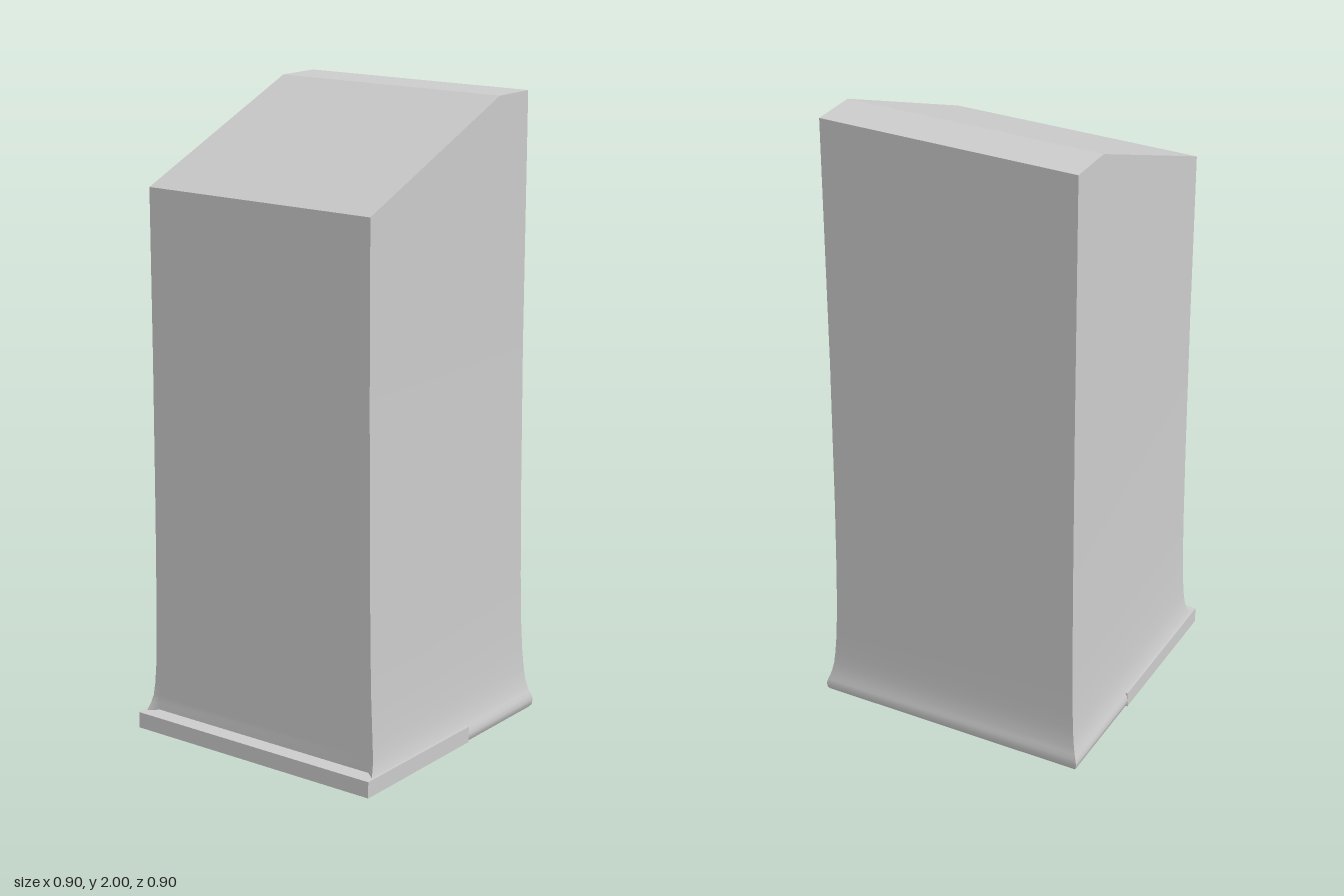
import * as THREE from 'three';
import { toCreasedNormals } from 'three/addons/utils/BufferGeometryUtils.js';

const HALF = 0.41, FRONT = 0.395, SEAM = 1.2;

// Flare of the lower body: [height, outward offset, forward offset of the front edge]
const FLARE = [
  [0, 0.032, 0.03], [0.008, 0.038, 0.03], [0.025, 0.04, 0.03], [0.04, 0.037, 0.03], [0.055, 0.031, 0.025],
  [0.075, 0.026, 0.014], [0.1, 0.021, 0.006], [0.14, 0.017, 0.002], [0.2, 0.013, 0],
  [0.3, 0.009, 0], [0.45, 0.006, 0], [0.7, 0.003, 0], [SEAM, 0, 0],
];

// Loft through horizontal sections, capped at the bottom
function skirtGeometry() {
  const rings = FLARE.map(([y, out, fwd]) => {
    const x = HALF + out, zf = FRONT + fwd;
    return [[-HALF, FRONT], [HALF, FRONT], [x, zf], [x, -x], [-x, -x], [-x, zf]]
      .map(([px, pz]) => new THREE.Vector3(px, y, pz));
  });
  const points = [];
  for (let r = 0; r < rings.length - 1; r++) {
    const lower = rings[r], upper = rings[r + 1], n = lower.length;
    for (let i = 0; i < n; i++) {
      const j = (i + 1) % n;
      points.push(lower[i], lower[j], upper[j], lower[i], upper[j], upper[i]);
    }
  }
  const b = rings[0];
  points.push(b[2], b[5], b[4], b[2], b[4], b[3]);
  return toCreasedNormals(new THREE.BufferGeometry().setFromPoints(points), 0.7);
}

export function createModel() {
  const group = new THREE.Group();
  const material = new THREE.MeshStandardMaterial({ color: 0xcccccc });
  const add = (name, geometry) => {
    const mesh = new THREE.Mesh(geometry, material);
    mesh.name = name;
    group.add(mesh);
    return mesh;
  };

  // Lower body, flaring at the sides and back
  add('flaredBody', skirtGeometry());

  // Upper body with sloping top, extruded across the width from its side profile
  const profile = new THREE.Shape([
    [-FRONT, SEAM], [HALF, SEAM], [HALF, 2], [0.255, 2], [-FRONT, 1.73],
  ].map(([x, y]) => new THREE.Vector2(x, y)));
  const upper = new THREE.ExtrudeGeometry(profile, { depth: 2 * HALF, bevelEnabled: false });
  upper.translate(0, 0, -HALF).rotateY(Math.PI / 2);
  add('slopedUpperBody', upper);

  // Square plinth projecting at the front and merging into the flared sides
  const plinth = new THREE.BoxGeometry(0.9, 0.052, 0.53);
  add('frontPlinth', plinth).position.set(0, 0.026, 0.185);

  return group;
}
